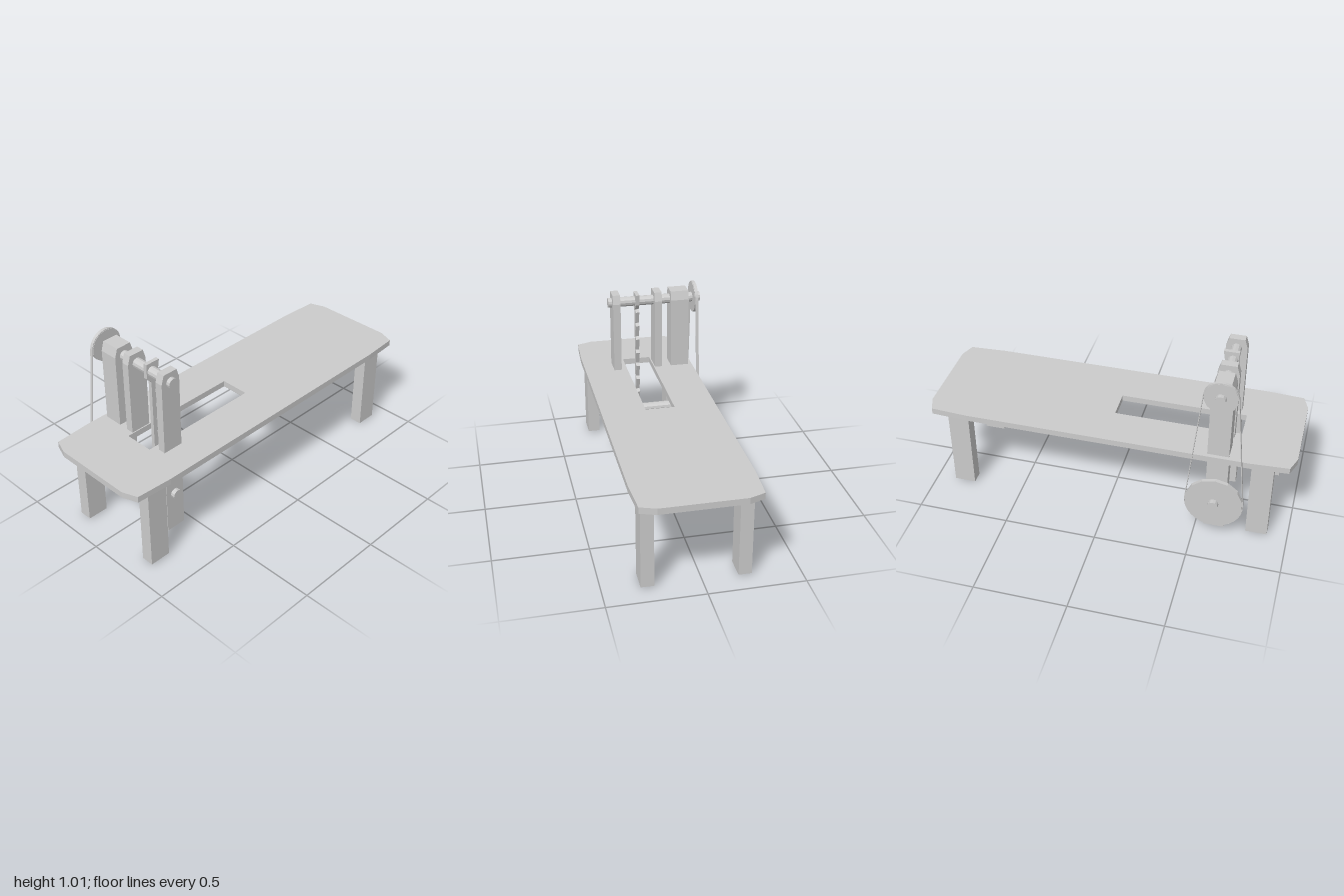
import * as THREE from 'three';

const material = new THREE.MeshStandardMaterial({ color: 0xcccccc, flatShading: true });
const AXIS_X = -0.6, TOP_Y = 0.915, LOW_Y = 0.225;

function add(group, name, geometry) {
  const mesh = new THREE.Mesh(geometry, material);
  mesh.name = name;
  group.add(mesh);
  return mesh;
}

const toShape = (pts) => new THREE.Shape(pts.map(([x, y]) => new THREE.Vector2(x, y)));

// Extrude an outline in the xy plane from z0 to z1
function slab(shape, z0, z1) {
  const g = new THREE.ExtrudeGeometry(shape, { depth: z1 - z0, bevelEnabled: false, curveSegments: 8 });
  return g.translate(0, 0, z0);
}

// Round bar or disc lying along z
function disc(radius, y, z0, z1, sides) {
  return new THREE.CylinderGeometry(radius, radius, z1 - z0, sides)
    .rotateX(Math.PI / 2).translate(AXIS_X, y, (z0 + z1) / 2);
}

// Upright with chamfered top corners
function post(y0, z0, z1) {
  const w = 0.057, c = 0.042, top = 0.97;
  return slab(toShape([
    [AXIS_X - w, y0], [AXIS_X + w, y0], [AXIS_X + w, 0.92],
    [AXIS_X + c, top], [AXIS_X - c, top], [AXIS_X - w, 0.92],
  ]), z0, z1);
}

// Closed outline wrapped tightly around both pulleys
function beltLoop(rTop, rLow, PathType) {
  const a = Math.asin((rLow - rTop) / (TOP_Y - LOW_Y));
  const p = new PathType();
  p.absarc(AXIS_X, TOP_Y, rTop, -a + 2 * a, Math.PI - a, false);
  p.absarc(AXIS_X, LOW_Y, rLow, Math.PI - a, 2 * Math.PI + a, false);
  p.closePath();
  return p;
}

export function createModel() {
  const model = new THREE.Group();
  model.name = 'benchSaw';

  // Table top with clipped corners and a slot
  const cz = 0.0275;
  const quarter = [[1, 0.22], [0.97, 0.303], [0.77, 0.315]];
  const back = [...quarter].reverse();
  const top = toShape([
    ...quarter.map(([x, z]) => [x, cz + z]),
    ...back.map(([x, z]) => [-x, cz + z]),
    ...quarter.map(([x, z]) => [-x, cz - z]),
    ...back.map(([x, z]) => [x, cz - z]),
  ]);
  top.holes.push(toShape([[-0.69, -0.06], [-0.69, 0.1], [0, 0.1], [0, -0.06]]));
  add(model, 'tableTop', slab(top, 0, 0.034).rotateX(Math.PI / 2).translate(0, 0.514, 0));

  // Four legs
  for (const x of [-0.833, 0.833]) {
    for (const z of [0.275, -0.217]) {
      add(model, 'leg', new THREE.BoxGeometry(0.116, 0.474, 0.068)).position.set(x, 0.245, z);
    }
  }

  // Uprights carrying the shafts
  add(model, 'frontPost', post(0, 0.133, 0.176));
  add(model, 'middlePost', post(0.5, -0.109, -0.066));
  add(model, 'backPost', post(0.5, -0.266, -0.162));
  add(model, 'backPostFoot', new THREE.BoxGeometry(0.114, 0.5, 0.075))
    .position.set(AXIS_X, 0.255, -0.2125);

  // Shafts and pulleys
  add(model, 'upperShaft', disc(0.028, TOP_Y, -0.34, 0.198, 12));
  add(model, 'lowerShaft', disc(0.028, LOW_Y, -0.342, 0.2, 12));
  add(model, 'upperPulley', disc(0.088, TOP_Y, -0.316, -0.295, 14));
  add(model, 'lowerPulley', disc(0.155, LOW_Y, -0.316, -0.295, 14));

  // Thin drive belt
  const belt = beltLoop(0.091, 0.157, THREE.Shape);
  belt.holes.push(beltLoop(0.087, 0.153, THREE.Path));
  add(model, 'driveBelt', slab(belt, -0.314, -0.297));

  // Saw blade: wide ends, narrow middle, teeth towards the slot
  const outline = [
    [-0.632, 0.963], [-0.632, 0.88], [-0.605, 0.85],
    [-0.605, 0.29], [-0.632, 0.26], [-0.632, 0.18], [-0.55, 0.18], [-0.56, 0.25],
  ];
  const teeth = 7, pitch = 0.084;
  for (let i = 0; i < teeth; i++) {
    const y = 0.28 + i * pitch;
    outline.push([-0.585, y], [-0.562, y + pitch * 0.85]);
  }
  outline.push([-0.585, 0.868], [-0.56, 0.9], [-0.55, 0.963]);
  add(model, 'sawBlade', slab(toShape(outline), 0.021, 0.042));

  return model;
}
